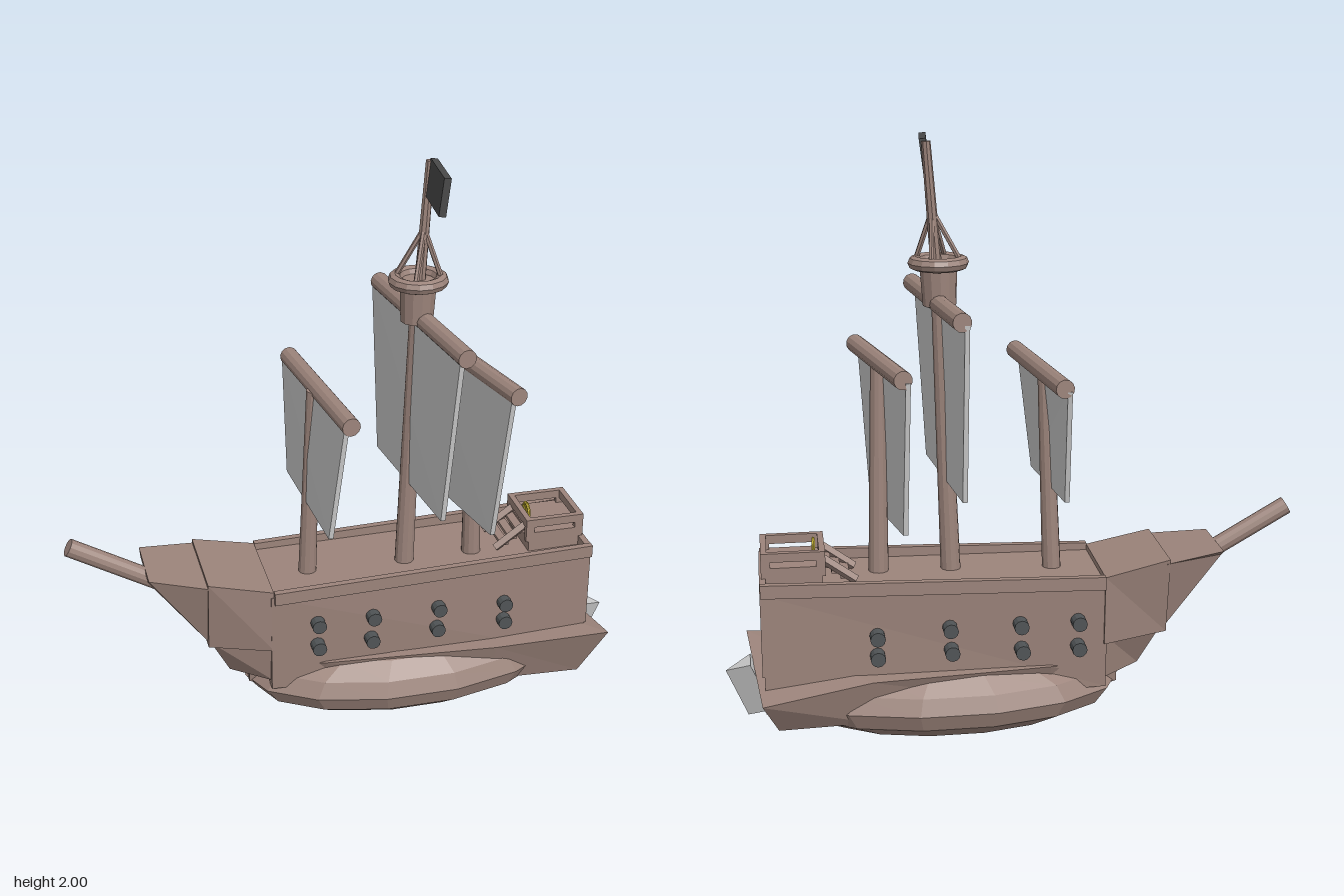
import * as THREE from 'three';

const mat = (color, side = THREE.FrontSide) =>
  new THREE.MeshStandardMaterial({ color, side, flatShading: true });
const WOOD = mat(0x9c847b), IRON = mat(0x505456), GREY = mat(0xcccccc);
const FLAG = mat(0x484848), GOLD = mat(0xc8b432);
const ZC = -0.055; // centre line of the hull

const V = (p) => new THREE.Vector3(...p);

export function createModel() {
  const ship = new THREE.Group();
  ship.name = 'sailingShip';

  const add = (name, geometry, material = WOOD, pos = [0, 0, 0]) => {
    const mesh = new THREE.Mesh(geometry, material);
    mesh.name = name;
    mesh.position.set(...pos);
    ship.add(mesh);
    return mesh;
  };
  const box = (name, x0, x1, y0, y1, z0, z1, m) =>
    add(name, new THREE.BoxGeometry(x1 - x0, y1 - y0, z1 - z0), m,
      [(x0 + x1) / 2, (y0 + y1) / 2, (z0 + z1) / 2]);

  // Round bar between two points
  const rod = (name, a, b, r0, r1 = r0, m = WOOD, sides = 12) => {
    const A = V(a), B = V(b), d = B.clone().sub(A);
    const mesh = add(name, new THREE.CylinderGeometry(r1, r0, d.length(), sides), m);
    mesh.position.copy(A).add(B).multiplyScalar(0.5);
    mesh.quaternion.setFromUnitVectors(new THREE.Vector3(0, 1, 0), d.normalize());
    return mesh;
  };

  // Solid through four-cornered cross-sections running towards +x
  const loft = (name, rings, m = WOOD) => {
    const n = 4, index = [], last = (rings.length - 1) * n;
    for (let r = 0; r < rings.length - 1; r++)
      for (let i = 0; i < n; i++) {
        const a = r * n + i, b = r * n + (i + 1) % n;
        index.push(a, b, b + n, a, b + n, a + n);
      }
    index.push(0, 2, 1, 0, 3, 2, last, last + 1, last + 2, last, last + 2, last + 3);
    const g = new THREE.BufferGeometry();
    g.setAttribute('position', new THREE.Float32BufferAttribute(rings.flat(2), 3));
    g.setIndex(index);
    const flat = g.toNonIndexed();
    flat.computeVertexNormals();
    return add(name, flat, m);
  };
  // Cross-section: bottom x, y, half width, then top x, y, half width
  const ring = (xb, yb, hb, xt, yt, ht, z = ZC) =>
    [[xb, yb, z + hb], [xb, yb, z - hb], [xt, yt, z - ht], [xt, yt, z + ht]];

  // Hull: main block, faceted belly and flared stern skirt
  loft('hull', [ring(-0.29, 0.17, 0.15, -0.29, 0.55, 0.172), ring(0.85, 0.15, 0.17, 0.85, 0.565, 0.172)]);
  const belly = add('belly', new THREE.SphereGeometry(1, 14, 8), WOOD, [0.22, 0.147, -0.05]);
  belly.scale.set(0.58, 0.147, 0.28);
  loft('sternSkirt', [
    ring(-0.35, 0.14, 0.04, -0.35, 0.215, 0.05),
    ring(-0.1, 0.1, 0.1, -0.1, 0.26, 0.17),
    ring(0.5, 0.1, 0.18, 0.5, 0.265, 0.23),
    [[0.83, 0.09, 0.13], [0.81, 0.1, -0.25], [0.86, 0.22, -0.33], [0.91, 0.28, 0.2]],
  ]);

  // Bow: forecastle, stem below it and the pointed beak
  loft('forecastle', [ring(-0.5, 0.35, 0.12, -0.5, 0.62, 0.165, -0.065), ring(-0.28, 0.33, 0.165, -0.28, 0.57, 0.175, -0.06)]);
  loft('stem', [ring(-0.42, 0.21, 0.05, -0.49, 0.36, 0.1), ring(-0.28, 0.19, 0.13, -0.28, 0.36, 0.16)]);
  loft('beak', [ring(-0.69, 0.61, 0.09, -0.69, 0.63, 0.12, -0.08), ring(-0.49, 0.35, 0.1, -0.49, 0.605, 0.165, -0.065)]);
  rod('bowsprit', [-0.94, 0.74, -0.065], [-0.56, 0.52, -0.06], 0.031);

  // Deck rails and the low bulwark at the stern
  for (const s of [1, -1]) {
    const z = ZC + s * 0.178, t = 0.012;
    loft('rail', [
      [[-0.28, 0.53, z + t], [-0.28, 0.53, z - t], [-0.28, 0.575, z - t], [-0.28, 0.575, z + t]],
      [[0.855, 0.56, z + t], [0.855, 0.56, z - t], [0.855, 0.605, z - t], [0.855, 0.605, z + t]],
    ]);
  }
  box('sternBoard', 0.835, 0.857, 0.28, 0.6, ZC - 0.17, ZC + 0.17);

  // Two rows of guns on each side
  const guns = [[-0.13, 0.43], [0.065, 0.43], [0.3, 0.43], [0.54, 0.415],
    [-0.13, 0.34], [0.06, 0.34], [0.295, 0.35], [0.54, 0.345]];
  for (const [x, y] of guns) {
    rod('gunLeft', [x, y, 0.08], [x, y, 0.15], 0.025, 0.025, IRON);
    rod('gunRight', [x - 0.06, y - 0.01, -0.2], [x - 0.06, y - 0.01, -0.265], 0.025, 0.025, IRON);
  }

  // Raised stern platform: floor, side walls, end rails on posts
  box('platformFloor', 0.65, 0.85, 0.56, 0.635, -0.165, 0.045);
  for (const z of [-0.165, 0.025]) {
    box('platformSideRail', 0.64, 0.85, 0.655, 0.685, z, z + 0.02);
    for (const x of [0.64, 0.82]) box('platformPost', x, x + 0.03, 0.6, 0.66, z, z + 0.02);
  }
  for (const x of [0.64, 0.83]) box('platformEndRail', x, x + 0.02, 0.655, 0.685, -0.165, 0.045);
  for (const z of [-0.13, 0.005]) rod('stairBeam', [0.54, 0.57, z], [0.65, 0.65, z], 0.016, 0.016, WOOD, 4);
  for (let i = 0; i < 3; i++)
    box('stairTread', 0.56 + i * 0.03, 0.59 + i * 0.03, 0.575 + i * 0.02, 0.587 + i * 0.02, -0.13, 0.005);
  const wheel = add('steeringWheel', new THREE.TorusGeometry(0.028, 0.006, 6, 14), GOLD, [0.675, 0.667, -0.06]);
  wheel.rotation.y = Math.PI / 2;
  rod('wheelSpokeUpright', [0.675, 0.635, -0.06], [0.675, 0.7, -0.06], 0.004, 0.004, GOLD, 6);
  rod('wheelSpokeLevel', [0.675, 0.667, -0.095], [0.675, 0.667, -0.025], 0.004, 0.004, GOLD, 6);

  // Masts, each with a slanted yard and a tapering sail below it
  const rigs = [
    { name: 'fore', foot: [-0.13, 0.54, -0.04], head: [-0.105, 1.24, -0.025], r: 0.032,
      yard: [[-0.122, 1.24, -0.325], [-0.052, 1.24, 0.28]], low: [[-0.13, 0.84, -0.24], [-0.095, 0.825, 0.24]] },
    { name: 'main', foot: [0.213, 0.54, -0.02], head: [0.243, 1.5, -0.015], r: 0.034,
      yard: [[0.207, 1.47, -0.36], [0.297, 1.47, 0.36]], low: [[0.21, 0.87, -0.29], [0.27, 0.87, 0.29]] },
    { name: 'mizzen', foot: [0.458, 0.54, -0.02], head: [0.445, 1.27, -0.005], r: 0.034,
      yard: [[0.385, 1.275, -0.28], [0.503, 1.28, 0.275]], low: [[0.395, 0.74, -0.205], [0.475, 0.74, 0.2]] },
  ];
  for (const { name, foot, head, r, yard: [a, b], low: [c, d] } of rigs) {
    rod(name + 'Mast', foot, head, r, r * 0.75);
    rod(name + 'Yard', a, b, 0.031);
    const t = 0.008, off = -0.016;
    const corner = ([x, y, z], dx, dy = 0) => [x + off + dx, y + dy, z];
    loft(name + 'Sail', [
      [corner(d, -t), corner(c, -t), corner(a, -t, -0.01), corner(b, -t, -0.01)],
      [corner(d, t), corner(c, t), corner(a, t, -0.01), corner(b, t, -0.01)],
    ], GREY);
  }

  // Lookout basket with ring, stays, pole and flag
  const nest = [0.243, 1.6, -0.01];
  rod('lookoutBasket', [0.24, 1.46, -0.01], nest, 0.055, 0.062);
  const hoop = add('lookoutRing', new THREE.TorusGeometry(0.077, 0.023, 8, 14), WOOD, nest);
  hoop.rotation.x = Math.PI / 2;
  rod('flagPole', [0.243, 1.49, -0.015], [0.28, 1.99, -0.025], 0.02, 0.015, WOOD, 8);
  for (let i = 0; i < 4; i++) {
    const a = i * Math.PI / 2 + 0.4;
    rod('stay', [nest[0] + 0.077 * Math.cos(a), 1.605, nest[2] + 0.077 * Math.sin(a)],
      [0.262, 1.77, -0.018], 0.009, 0.009, WOOD, 6);
  }
  const flag = box('flag', 0.262, 0.285, 1.875, 1.998, -0.02, 0.19, FLAG);
  flag.rotation.set(0, -0.09, -0.12);

  // Rudder: three-sided block leaning outwards at the stern
  const rudder = rod('rudder', [0.855, 0.1, ZC], [0.925, 0.265, ZC], 0.06, 0.06, GREY, 3);
  rudder.rotateY(Math.PI / 2);

  return ship;
}
